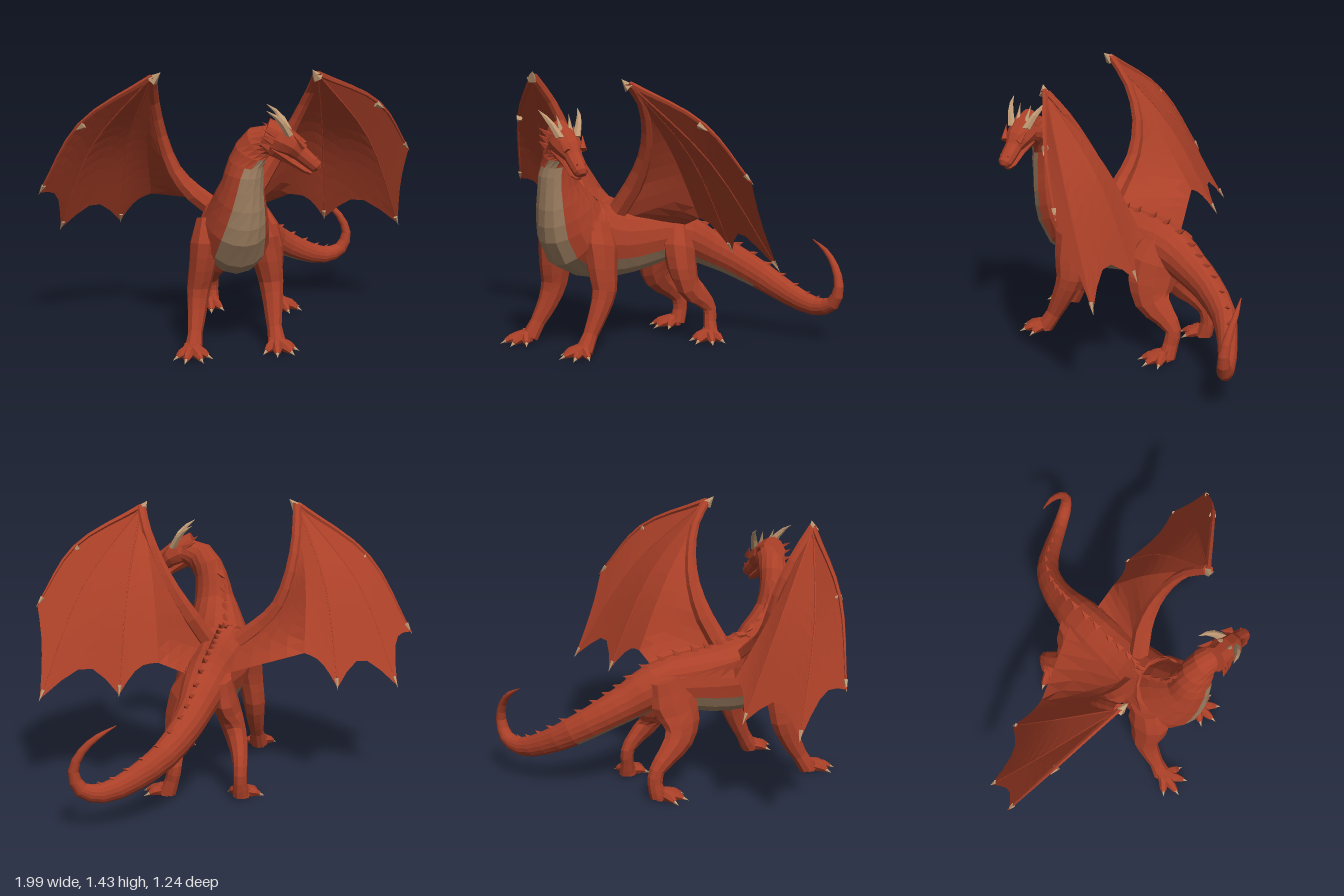
import * as THREE from 'three';

const mat = (name, color) => {
  const m = new THREE.MeshStandardMaterial({ color, flatShading: true, side: THREE.DoubleSide });
  m.name = name;
  return m;
};
const V = (a) => new THREE.Vector3(...a);

// Lofts elliptical rings along rows of [x, y, z, halfWidth, halfHeight, yawDegrees].
// Row 0 is the forward end. Quads picked by isBelly go to the second material.
function loft(rows, sides = 8, sub = 2, isBelly = () => false) {
  const curve = new THREE.CatmullRomCurve3(rows.map((r) => V(r)));
  const n = (rows.length - 1) * sub;
  const pos = [], skin = [], belly = [], tops = [];
  const at = (i) => curve.getPoint(Math.min(Math.max(i / n, 0), 1));
  for (let i = 0; i <= n; i++) {
    const k = Math.min(Math.floor(i / sub), rows.length - 2), f = i / sub - k;
    const [w, h, yaw] = [3, 4, 5].map((c) => THREE.MathUtils.lerp(rows[k][c], rows[k + 1][c], f));
    const a = THREE.MathUtils.degToRad(yaw), p = at(i);
    const T = at(i - 0.5).sub(at(i + 0.5)).normalize();
    const side = new THREE.Vector3(Math.cos(a), 0, -Math.sin(a));
    const up = T.clone().cross(side).normalize();
    for (let j = 0; j < sides; j++) {
      const t = (j / sides) * Math.PI * 2;
      const q = p.clone().addScaledVector(side, Math.cos(t) * w).addScaledVector(up, Math.sin(t) * h);
      pos.push(q.x, q.y, q.z);
    }
    tops.push({ p: p.clone().addScaledVector(up, h), up, T });
  }
  for (let i = 0; i < n; i++) {
    for (let j = 0; j < sides; j++) {
      const k = (j + 1) % sides, a = i * sides + j, b = i * sides + k, c = b + sides, d = a + sides;
      (isBelly(i / n, Math.sin(((j + 0.5) / sides) * Math.PI * 2)) ? belly : skin).push(d, c, b, d, b, a);
    }
  }
  const e = n * sides;
  for (let j = 1; j < sides - 1; j++) skin.push(0, j, j + 1, e, e + j + 1, e + j);
  const geo = new THREE.BufferGeometry();
  geo.setAttribute('position', new THREE.Float32BufferAttribute(pos, 3));
  geo.setIndex([...skin, ...belly]);
  geo.addGroup(0, skin.length, 0);
  geo.addGroup(skin.length, belly.length, 1);
  geo.computeVertexNormals();
  return { geo, tops };
}

// Belly plates: narrow on the throat and tail, widest under the ribs
function isBelly(f, s) {
  if (f < 0.07 || f > 0.72) return false;
  if (f < 0.1 || f > 0.62) return s < -0.9;
  return s < (f > 0.3 && f < 0.46 ? -0.5 : -0.75);
}

export function createModel() {
  const red = mat('red scales', 0xab4028);
  const tan = mat('belly plates', 0x9e7f61);
  const bone = mat('horn and claw', 0xc09a74);
  const model = new THREE.Group();
  model.name = 'dragon';

  const add = (parent, name, geo, m) => {
    const mesh = new THREE.Mesh(geo, m);
    mesh.name = name;
    parent.add(mesh);
    return mesh;
  };
  const limb = (parent, name, rows, m = red, sides = 8, sub = 2) => add(parent, name, loft(rows, sides, sub).geo, [m, m]);
  // Cone running from one point to another
  const spike = (parent, name, from, to, r, m, sides = 5) => {
    const d = to.clone().sub(from), len = d.length();
    const c = add(parent, name, new THREE.ConeGeometry(r, len, sides), m);
    c.position.copy(from).addScaledVector(d, 0.5);
    c.quaternion.setFromUnitVectors(new THREE.Vector3(0, 1, 0), d.normalize());
  };

  // Neck, torso and curling tail in one skin
  const body = loft([
    [-0.09, 1.12, 0.48, 0.06, 0.06, 50],
    [-0.16, 1.1, 0.415, 0.075, 0.085, 28],
    [-0.21, 1.0, 0.375, 0.085, 0.095, 8],
    [-0.22, 0.88, 0.355, 0.105, 0.115, 0],
    [-0.21, 0.74, 0.3, 0.145, 0.175, -10],
    [-0.195, 0.62, 0.23, 0.18, 0.215, -16],
    [-0.12, 0.56, 0.1, 0.17, 0.2, -28],
    [-0.02, 0.55, -0.04, 0.145, 0.175, -35],
    [0.08, 0.565, -0.18, 0.13, 0.145, -38],
    [0.165, 0.55, -0.29, 0.115, 0.12, -40],
    [0.255, 0.485, -0.385, 0.09, 0.1, -44],
    [0.35, 0.42, -0.47, 0.075, 0.088, -52],
    [0.5, 0.325, -0.55, 0.062, 0.077, -68],
    [0.67, 0.235, -0.565, 0.05, 0.063, -85],
    [0.83, 0.185, -0.555, 0.042, 0.05, -97],
    [0.935, 0.215, -0.54, 0.036, 0.038, -100],
    [0.97, 0.31, -0.535, 0.028, 0.026, -100],
    [0.935, 0.41, -0.56, 0.02, 0.02, -105],
    [0.865, 0.485, -0.595, 0.013, 0.014, -108],
    [0.78, 0.535, -0.62, 0.002, 0.002, -110],
  ], 16, 2, isBelly);
  add(model, 'body', body.geo, [red, tan]);

  // Spine ridge
  body.tops.slice(4, 29).forEach(({ p, up, T }, i) => {
    const base = p.clone().addScaledVector(up, -0.012);
    const s = 0.042 - Math.max(0, i - 14) * 0.0015;
    spike(model, 'spineSpike', base, base.clone().addScaledVector(up, s).addScaledVector(T, -s * 0.9), s * 0.55, red, 4);
  });

  // Head, built facing +z and then turned
  const head = new THREE.Group();
  head.name = 'head';
  head.position.set(-0.1, 1.12, 0.49);
  head.rotation.set(THREE.MathUtils.degToRad(35), THREE.MathUtils.degToRad(60), 0, 'YXZ');
  model.add(head);
  limb(head, 'skull', [
    [0, -0.005, 0.25, 0.022, 0.02, 0], [0, 0, 0.235, 0.037, 0.034, 0], [0, 0.005, 0.19, 0.043, 0.038, 0],
    [0, 0.01, 0.13, 0.046, 0.042, 0], [0, 0.018, 0.085, 0.068, 0.058, 0], [0, 0.01, 0.02, 0.078, 0.075, 0],
    [0, -0.01, -0.07, 0.068, 0.08, 0],
  ], red, 10, 1);
  limb(head, 'jaw', [
    [0, -0.04, 0.235, 0.016, 0.01, 0], [0, -0.046, 0.2, 0.032, 0.016, 0], [0, -0.05, 0.11, 0.036, 0.02, 0],
    [0, -0.048, 0.02, 0.058, 0.038, 0], [0, -0.04, -0.05, 0.05, 0.04, 0],
  ], red, 8, 1);
  for (const s of [-1, 1]) {
    limb(head, 'horn', [
      [s * 0.045, 0.055, 0.035, 0.024, 0.022, 0], [s * 0.075, 0.088, -0.03, 0.018, 0.018, 0],
      [s * 0.095, 0.1, -0.08, 0.011, 0.011, 0], [s * 0.11, 0.1, -0.135, 0.001, 0.001, 0],
    ], bone, 6, 1);
    spike(head, 'smallHorn', V([s * 0.025, 0.06, 0]), V([s * 0.035, 0.112, -0.085]), 0.015, bone);
    spike(head, 'brow', V([s * 0.045, 0.05, 0.125]), V([s * 0.07, 0.075, 0.04]), 0.02, red);
    spike(head, 'nostril', V([s * 0.02, 0.015, 0.21]), V([s * 0.024, 0.045, 0.215]), 0.012, red);
    for (let i = 0; i < 3; i++) {
      const y = 0.02 - i * 0.035;
      spike(head, 'cheekFrill', V([s * 0.06, y, -0.02]), V([s * (0.1 - i * 0.005), y - 0.005, -0.1 + i * 0.012]), 0.02, red, 4);
    }
  }

  // Legs: hip to ankle, then a foot with clawed toes fanned about the yaw
  function leg(name, rows, fx, fz, yaw) {
    const g = new THREE.Group();
    g.name = name;
    model.add(g);
    limb(g, name + 'Limb', rows, red, 9);
    for (const [off, len] of [[-58, 0.09], [-20, 0.11], [20, 0.11], [58, 0.09]]) {
      const a = THREE.MathUtils.degToRad(yaw + off), dx = Math.sin(a), dz = Math.cos(a);
      const p = (d, y) => [fx + dx * d, y, fz + dz * d];
      limb(g, 'toe', [
        [...p(len, 0.02), 0.014, 0.013, yaw + off], [...p(len * 0.75, 0.031), 0.022, 0.023, yaw + off],
        [...p(len * 0.3, 0.04), 0.028, 0.032, yaw + off], [...p(-0.035, 0.042), 0.028, 0.036, yaw + off],
      ], red, 6, 1);
      spike(g, 'claw', V(p(len - 0.012, 0.025)), V(p(len + 0.03, 0.006)), 0.013, bone);
    }
  }
  leg('leftFrontLeg', [
    [-0.07, 0.68, 0.2, 0.06, 0.09, 0], [-0.045, 0.56, 0.22, 0.085, 0.12, 0], [-0.02, 0.44, 0.25, 0.075, 0.09, 0],
    [0, 0.33, 0.26, 0.062, 0.072, 0], [-0.01, 0.22, 0.3, 0.05, 0.057, 0],
    [-0.03, 0.11, 0.35, 0.038, 0.042, 0], [-0.04, 0.03, 0.4, 0.048, 0.045, 0],
  ], -0.045, 0.4, -8);
  leg('rightFrontLeg', [
    [-0.31, 0.68, 0.15, 0.06, 0.09, -25], [-0.335, 0.56, 0.17, 0.08, 0.12, -25], [-0.355, 0.43, 0.17, 0.07, 0.095, -25],
    [-0.37, 0.32, 0.16, 0.062, 0.075, -25], [-0.395, 0.21, 0.19, 0.05, 0.057, -25],
    [-0.43, 0.11, 0.235, 0.038, 0.042, -25], [-0.46, 0.03, 0.27, 0.048, 0.045, -25],
  ], -0.475, 0.285, -22);
  leg('leftHindLeg', [
    [0.16, 0.62, -0.24, 0.06, 0.09, 10], [0.19, 0.5, -0.2, 0.085, 0.14, 10], [0.22, 0.395, -0.18, 0.075, 0.125, 10],
    [0.25, 0.31, -0.185, 0.06, 0.095, 10], [0.295, 0.235, -0.25, 0.046, 0.06, 10], [0.325, 0.17, -0.295, 0.036, 0.042, 10],
    [0.335, 0.1, -0.285, 0.034, 0.04, 10], [0.35, 0.03, -0.265, 0.042, 0.045, 10],
  ], 0.35, -0.25, 15);
  leg('rightHindLeg', [
    [0.075, 0.62, -0.31, 0.06, 0.09, -25], [0.045, 0.5, -0.29, 0.075, 0.13, -25], [0.005, 0.395, -0.29, 0.07, 0.115, -25],
    [-0.005, 0.31, -0.325, 0.06, 0.09, -25], [0.015, 0.235, -0.41, 0.046, 0.058, -30], [0.04, 0.17, -0.47, 0.036, 0.042, -35],
    [0.045, 0.1, -0.48, 0.034, 0.04, -40], [0.035, 0.03, -0.465, 0.042, 0.045, -40],
  ], 0.02, -0.455, -45);

  // Wings: fingers and a soft fold fan out from the wrist, with scalloped skin between them and the arm
  function wing(name, arm, root, fold, fingers, depths) {
    const g = new THREE.Group();
    g.name = name;
    model.add(g);
    const wrist = arm[0];
    const rays = [...[...fingers, fold].map((f) => [wrist, ...f]), [...arm, root]].map((r) => new THREE.CatmullRomCurve3(r.map(V)));
    const NU = 12, NV = 5;
    rays.slice(0, -1).forEach((ray, r) => {
      const pos = [], idx = [];
      for (let i = 0; i <= NU; i++) for (let j = 0; j <= NV; j++) {
        const v = j / NV, u = (i / NU) * (1 - depths[r] * Math.sin(Math.PI * v));
        const p = ray.getPoint(u).lerp(rays[r + 1].getPoint(u), v);
        pos.push(p.x, p.y, p.z);
        if (i < NU && j < NV) {
          const a = i * (NV + 1) + j, b = a + NV + 1;
          idx.push(a, b, a + 1, b, b + 1, a + 1);
        }
      }
      const geo = new THREE.BufferGeometry();
      geo.setAttribute('position', new THREE.Float32BufferAttribute(pos, 3));
      geo.setIndex(idx);
      geo.computeVertexNormals();
      add(g, 'wingMembrane', geo, red);
    });
    // Finger bones with clawed tips, stout only along the leading edge
    fingers.forEach((f, k) => {
      const pts = [wrist, ...f], n = pts.length - 1, r = k ? 0.006 : 0.016;
      limb(g, 'wingFinger', pts.map((p, i) => [...p, r * (1 - 0.7 * (i / n)), r * (1 - 0.7 * (i / n)), 90]), red, 5, 4);
      const tip = V(f[n - 1]), dir = tip.clone().sub(V(pts[n - 1])).normalize();
      spike(g, 'fingerClaw', tip.clone().addScaledVector(dir, -0.05), tip.clone().addScaledVector(dir, 0.015), 0.012, bone);
    });
    // Arm, thick at the shoulder, with claws at the wrist and leading knuckle
    const r = [0.026, 0.026, 0.03, 0.038, 0.05, 0.055];
    limb(g, 'wingArm', arm.map((p, i) => [...p, r[i], r[i], 90]), red, 7);
    const w = V(wrist), k = V(fingers[0][0]);
    const out = k.clone().sub(w).setY(0).normalize();
    spike(g, 'wristClaw', w.clone().add(V([0, -0.02, 0])), w.clone().addScaledVector(out, -0.04).add(V([0, 0.025, 0.01])), 0.03, bone);
    spike(g, 'knuckleClaw', k.clone().addScaledVector(out, -0.025), k.clone().addScaledVector(out, 0.025).add(V([0, -0.03, 0.01])), 0.02, bone);
  }
  wing('leftWing',
    [[0.21, 1.41, 0.36], [0.225, 1.3, 0.26], [0.2, 1.15, 0.17], [0.15, 1.01, 0.11], [0.06, 0.85, 0.07], [-0.09, 0.64, 0.07]],
    [0.16, 0.6, -0.24],
    [[0.28, 1.05, 0.06], [0.34, 0.68, -0.14]],
    [[[0.61, 1.225, 0.33], [0.84, 0.95, 0.27]],
      [[0.6, 1.03, 0.24], [0.905, 0.5, 0.09]],
      [[0.41, 1.03, 0.09], [0.55, 0.53, -0.11]]],
    [0.04, 0.13, 0.06, 0]);
  wing('rightWing',
    [[-0.57, 1.41, 0.06], [-0.51, 1.26, -0.04], [-0.45, 1.08, -0.09], [-0.39, 0.9, -0.07], [-0.31, 0.78, -0.01], [-0.13, 0.63, 0.08]],
    [0.1, 0.63, -0.33],
    [[-0.48, 1.03, -0.2], [-0.37, 0.71, -0.39]],
    [[[-0.85, 1.15, -0.22], [-0.99, 0.77, -0.435]],
      [[-0.75, 1.02, -0.29], [-0.82, 0.53, -0.58]],
      [[-0.56, 1.02, -0.27], [-0.49, 0.545, -0.53]]],
    [0.1, 0.13, 0.05, 0]);

  return model;
}
